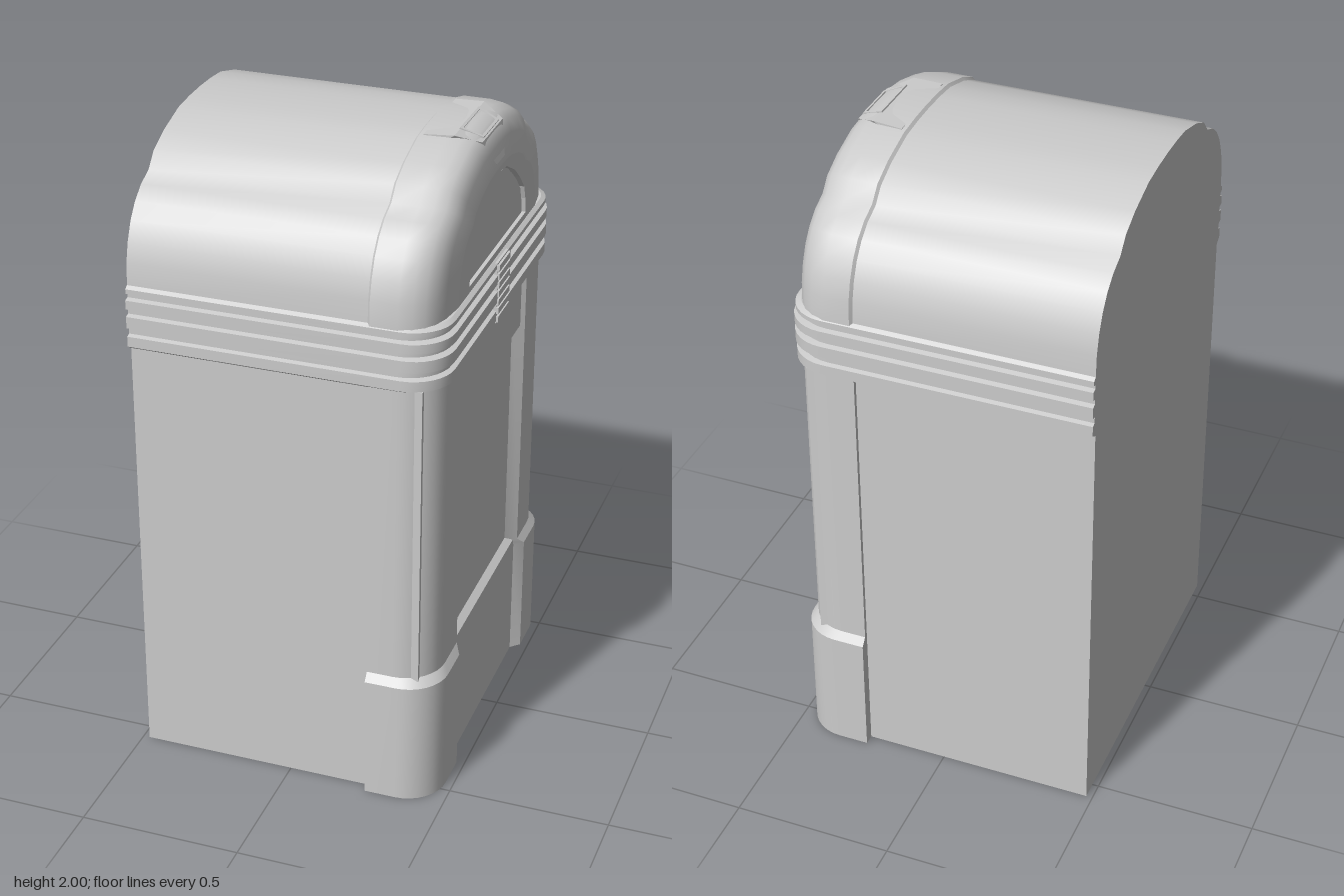
import * as THREE from 'three';
import { toCreasedNormals } from 'three/addons/utils/BufferGeometryUtils.js';
import { ConvexGeometry } from 'three/addons/geometries/ConvexGeometry.js';

const BACK = -0.48;
const material = new THREE.MeshStandardMaterial({ color: 0xcccccc });
const V = (x, y, z) => new THREE.Vector3(x, y, z);

// Skin a row of equal-length closed rings, with fan caps at the ends
function loft(rings, capEnd = true, crease = 0.6) {
  const tris = [];
  const n = rings[0].length;
  for (let i = 0; i < rings.length - 1; i++) {
    for (let j = 0; j < n; j++) {
      const k = (j + 1) % n;
      const a = rings[i][j], b = rings[i][k], c = rings[i + 1][k], d = rings[i + 1][j];
      tris.push([a, b, c], [a, c, d]);
    }
  }
  const cap = (ring, flip) => {
    const mid = ring.reduce((s, p) => s.add(p), V(0, 0, 0)).divideScalar(n);
    ring.forEach((p, j) => {
      const q = ring[(j + 1) % n];
      tris.push(flip ? [mid, q, p] : [mid, p, q]);
    });
  };
  cap(rings[0], true);
  if (capEnd) cap(rings[rings.length - 1], false);
  // Turn the skin outward whichever way the rings run
  const origin = rings[0][0];
  let volume = 0;
  for (const [a, b, c] of tris) {
    volume += a.clone().sub(origin).dot(b.clone().sub(origin).cross(c.clone().sub(origin)));
  }
  const points = tris.flatMap(t => (volume < 0 ? [t[0], t[2], t[1]] : t));
  return toCreasedNormals(new THREE.BufferGeometry().setFromPoints(points), crease);
}

// Quarter-round plan corner from the side (+z) to the front (+x)
function corner(xf, zs, r, steps = 8) {
  return Array.from({ length: steps + 1 }, (_, i) => {
    const a = (Math.PI / 2) * (1 - i / steps);
    return [xf - r + r * Math.cos(a), zs - r + r * Math.sin(a)];
  });
}

const shapeOf = pts => new THREE.Shape(pts.map(p => new THREE.Vector2(p[0], p[1])));
const mirrored = half => [...half, ...half.filter(p => p[0] > 0).reverse().map(([z, y]) => [-z, y])];

export function createModel() {
  const model = new THREE.Group();
  const add = (name, geometry, parent = model) => {
    const mesh = new THREE.Mesh(geometry, material);
    mesh.name = name;
    parent.add(mesh);
    return mesh;
  };
  const box = (name, x0, x1, y0, y1, z0, z1, parent) =>
    add(name, new THREE.BoxGeometry(x1 - x0, y1 - y0, z1 - z0), parent)
      .position.set((x0 + x1) / 2, (y0 + y1) / 2, (z0 + z1) / 2);

  // Main body, flat at the back
  box('body', BACK, 0.41, 0, 1.385, -0.555, 0.555);

  // Front panel: plinth, recessed field and sloped header
  const panel = shapeOf([[0.3, 0], [0.447, 0], [0.447, 0.425], [0.425, 0.44],
    [0.425, 1.185], [0.446, 1.205], [0.446, 1.385], [0.3, 1.385]]);
  add('frontPanel', new THREE.ExtrudeGeometry(panel, { depth: 0.66, bevelEnabled: false }).translate(0, 0, -0.33));

  // Rounded corner pillars standing on wider feet
  const pillarRing = (y, xf, zs, zi, side) =>
    [[0.253, zi - 0.035], [0.253, zs], ...corner(xf, zs, 0.125), [xf, zi], [xf - 0.035, zi - 0.035]]
      .map(([x, z]) => V(x, y, z * side));
  for (const side of [1, -1]) {
    add(side > 0 ? 'leftPillar' : 'rightPillar', loft([
      pillarRing(0, 0.475, 0.588, 0.352, side),
      pillarRing(0.4, 0.475, 0.588, 0.352, side),
      pillarRing(0.425, 0.458, 0.568, 0.326, side),
      pillarRing(1.385, 0.458, 0.568, 0.326, side),
    ], true, 0.4));
  }

  // Ribbed band around the joint
  const bandRing = (y, inset) => {
    const half = [[BACK, 0.58 - inset], ...corner(0.475 - inset, 0.58 - inset, 0.125)];
    return [...half, ...half.slice().reverse().map(([x, z]) => [x, -z])].map(([x, z]) => V(x, y, z));
  };
  const bandProfile = [[1.38, 0.02], [1.392, 0.002], [1.424, 0.002], [1.428, 0.016], [1.448, 0.016],
    [1.452, 0], [1.488, 0], [1.492, 0.016], [1.508, 0.016], [1.512, 0], [1.54, 0],
    [1.544, 0.016], [1.556, 0.016], [1.56, 0.004], [1.574, 0.004], [1.582, 0.016]];
  add('band', loft(bandProfile.map(([y, inset]) => bandRing(y, inset)), true, 0.4));

  // Ribbed clasp in the middle of the band
  const clasp = new THREE.Group();
  clasp.name = 'clasp';
  model.add(clasp);
  box('claspPlate', 0.44, 0.473, 1.385, 1.578, -0.056, 0.056, clasp);
  for (let i = 0; i < 7; i++) {
    const y = 1.388 + i * 0.0275;
    box('claspRib', 0.46, 0.48, y, y + 0.02, -0.056, 0.056, clasp);
  }

  // Lid arch, stepped at the shoulders
  const arch = mirrored([[0.564, 1.57], [0.56, 1.65], [0.545, 1.71], [0.52, 1.765], [0.485, 1.81],
    [0.44, 1.845], [0.385, 1.868], [0.345, 1.912], [0.27, 1.947], [0.16, 1.978], [0.08, 1.985], [0, 1.987]]);
  const archRing = (x, sz, sy) => arch.map(([z, y]) => V(x, 1.57 + (y - 1.57) * sy, z * sz));
  add('lid', loft([archRing(BACK, 1, 1), archRing(0.252, 1, 1)]));

  // Rounded lid end, starting with a small raised rim
  const END = 0.458, FACE = 0.69;
  add('lidEnd', loft([[0.25, 1, 1], [0.258, 1.016, 1.02], [0.34, 1.016, 1.02], [0.38, 0.995, 1.01],
    [0.41, 0.96, 0.985], [0.432, 0.91, 0.94], [0.447, 0.83, 0.85], [END, FACE, FACE + 0.01]]
    .map(a => archRing(...a)), false));

  // Front face of the lid with an arched, recessed window
  const windowPts = mirrored([[0.287, 1.602], [0.277, 1.65], [0.26, 1.695], [0.21, 1.745],
    [0.15, 1.792], [0.06, 1.838], [0, 1.846]]);
  const face = shapeOf(archRing(0, FACE, FACE + 0.01).map(p => [p.z, p.y]));
  face.holes.push(new THREE.Path(shapeOf(windowPts).getPoints()));
  add('lidFace', new THREE.ExtrudeGeometry(face, { depth: 0.03, bevelEnabled: false })
    .rotateY(Math.PI / 2).translate(END - 0.03, 0, 0));
  add('windowRecess', new THREE.ShapeGeometry(shapeOf(windowPts)).rotateY(Math.PI / 2).translate(END - 0.02, 0, 0));
  const pane = shapeOf(windowPts.map(([z, y]) => [z * 0.94, 1.7 + (y - 1.7) * 0.94]));
  add('windowPane', new THREE.ExtrudeGeometry(pane, { depth: 0.012, bevelEnabled: false })
    .rotateY(Math.PI / 2).translate(END - 0.02, 0, 0));

  // Tongue running over the top edge of the lid
  const tongue = [[0.27, 1.99, 0.15], [0.36, 1.995, 0.145], [0.43, 1.967, 0.1], [0.457, 1.88, 0.04],
    [0.27, 1.93, 0.15], [0.4, 1.87, 0.04]];
  add('lidTongue', new ConvexGeometry(tongue.flatMap(([x, y, z]) => [V(x, y, z), V(x, y, -z)])));

  // Raised trapezoid grip frame lying on the tongue
  const grip = shapeOf([[0, -0.09], [0.072, -0.075], [0.072, 0.075], [0, 0.09]]);
  grip.holes.push(new THREE.Path(shapeOf([[0.008, -0.08], [0.064, -0.067], [0.064, 0.067], [0.008, 0.08]]).getPoints()));
  const frame = add('gripFrame', new THREE.ExtrudeGeometry(grip, { depth: 0.012, bevelEnabled: false })
    .rotateX(-Math.PI / 2));
  frame.position.set(0.355, 1.988, 0);
  frame.rotation.z = -0.36;

  return model;
}
